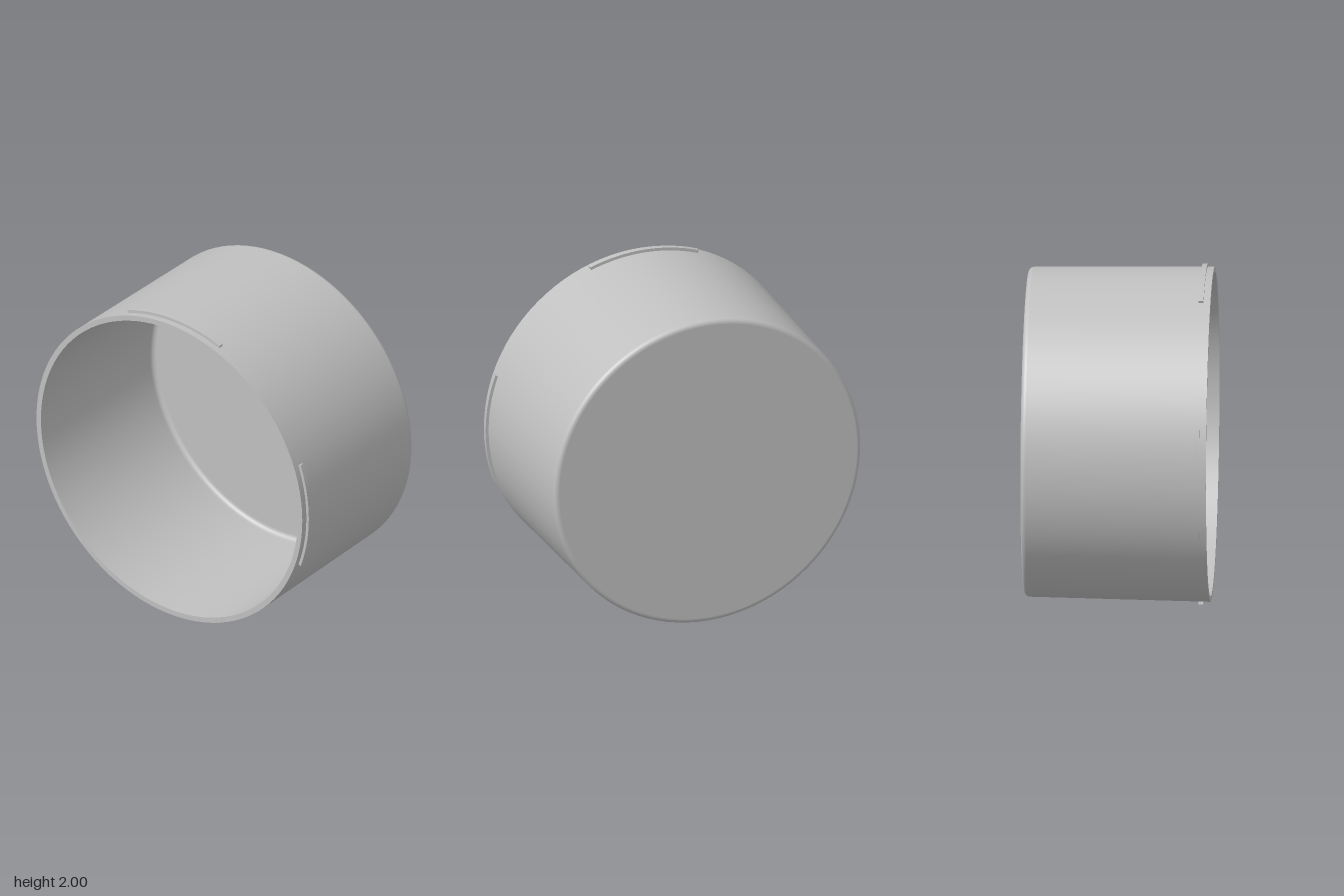
import * as THREE from 'three';

export function createModel() {
  const model = new THREE.Group();
  model.name = 'roundCap';
  const grey = new THREE.MeshStandardMaterial({ color: 0xc0c0c0 });
  grey.name = 'plainGrey';

  const FRONT = 0.545, BACK = -0.545, FLOOR = -0.515, SEGMENTS = 96;

  // Surface of revolution about z from [radius, z] points
  const addRing = (name, points) => {
    const geo = new THREE.LatheGeometry(points.map(([r, z]) => new THREE.Vector2(r, z)), SEGMENTS);
    geo.rotateX(Math.PI / 2);
    const mesh = new THREE.Mesh(geo, grey);
    mesh.name = name;
    mesh.position.y = 1;
    model.add(mesh);
  };

  // Quarter-round from the flat disc at z out to the wall radius
  const fillet = (wallRadius, z, size) => Array.from({ length: 9 }, (_, i) => {
    const a = (i / 8) * Math.PI / 2;
    return [wallRadius - size + size * Math.sin(a), z + size - size * Math.cos(a)];
  });

  // Closed back and slightly tapered outer wall
  addRing('backFace', [[0, BACK], [0.937, BACK]]);
  addRing('backRoundedEdge', fillet(0.967, BACK, 0.03));
  addRing('outerWall', [[0.967, BACK + 0.03], [0.983, FRONT]]);

  // Open rim, inner wall and floor
  addRing('rim', [[0.983, FRONT], [0.95, FRONT]]);
  addRing('innerWall', [[0.95, FRONT], [0.938, FLOOR + 0.03]]);
  addRing('innerRoundedEdge', fillet(0.938, FLOOR, 0.03).reverse());
  addRing('innerFloor', [[0.908, FLOOR], [0, FLOOR]]);

  // Four curved locking ribs just behind the rim
  const half = THREE.MathUtils.degToRad(20);
  const arc = new THREE.Shape();
  arc.absarc(0, 0, 1, -half, half, false);
  arc.absarc(0, 0, 0.972, half, -half, true);
  arc.closePath();
  const ribGeo = new THREE.ExtrudeGeometry(arc, { depth: 0.03, bevelEnabled: false, curveSegments: 20 });
  ['leftRib', 'topRib', 'rightRib', 'bottomRib'].forEach((name, i) => {
    const rib = new THREE.Mesh(ribGeo, grey);
    rib.name = name;
    rib.position.set(0, 1, 0.475);
    rib.rotation.z = i * Math.PI / 2;
    model.add(rib);
  });

  return model;
}
